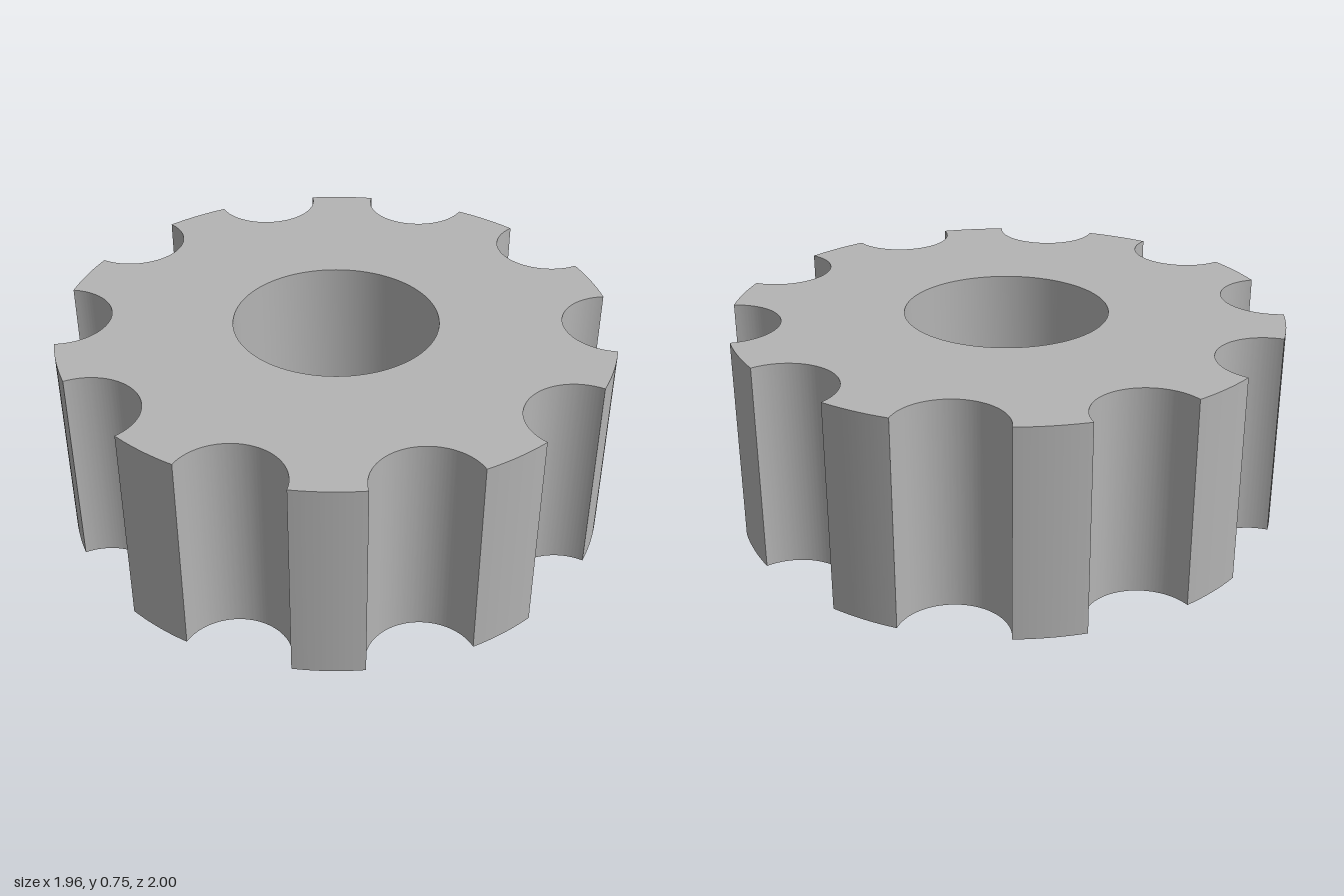
import * as THREE from 'three';
import { toCreasedNormals } from 'three/addons/utils/BufferGeometryUtils.js';

const RADIUS = 1, HEIGHT = 0.75, LOBES = 10, SCALLOP = 0.19;
const HOLE = 0.37, HOLE_DEPTH = 0.5;

// Round outline with circular scallops centred on the rim
function knobOutline() {
  const shape = new THREE.Shape();
  const step = (Math.PI * 2) / LOBES;
  const cut = Math.acos(-SCALLOP / (2 * RADIUS)); // end of a scallop, about its own centre
  const half = 2 * Math.asin(SCALLOP / (2 * RADIUS)); // the same end, about the knob centre
  for (let i = 0; i < LOBES; i++) {
    const a = i * step;
    shape.absarc(Math.cos(a) * RADIUS, Math.sin(a) * RADIUS, SCALLOP, a - cut, a + cut, true);
    shape.absarc(0, 0, RADIUS, a + half, a + step - half, false);
  }
  return shape;
}

export function createModel() {
  const group = new THREE.Group();
  group.name = 'scallopedKnob';
  const grey = new THREE.MeshStandardMaterial({ color: 0xb4b4b4 });
  grey.name = 'grey';

  // Scalloped body with its central bore
  const outline = knobOutline();
  const bore = new THREE.Path();
  bore.absarc(0, 0, HOLE, 0, Math.PI * 2, true);
  outline.holes.push(bore);
  const solid = new THREE.ExtrudeGeometry(outline, { depth: HEIGHT, bevelEnabled: false, curveSegments: 48 });
  solid.rotateX(-Math.PI / 2);
  const body = new THREE.Mesh(toCreasedNormals(solid, 0.6), grey);
  body.name = 'scallopedBody';
  group.add(body);

  // Closed end of the blind bore, flush with the underside
  const thickness = HEIGHT - HOLE_DEPTH;
  const floor = new THREE.Mesh(new THREE.CylinderGeometry(HOLE, HOLE, thickness, 48), grey);
  floor.name = 'boreFloor';
  floor.position.y = thickness / 2;
  group.add(floor);

  return group;
}
